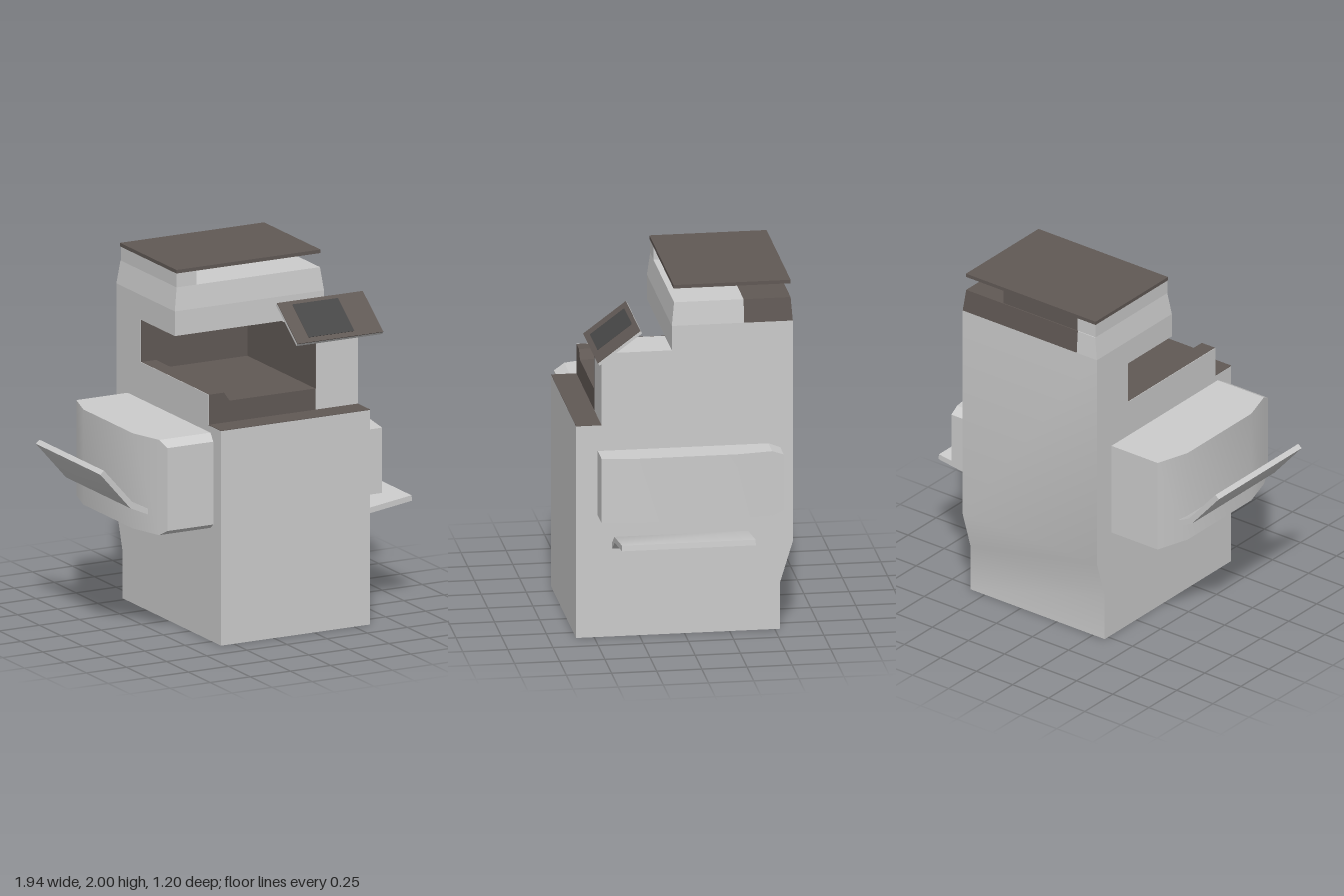
import * as THREE from 'three';
import { toCreasedNormals } from 'three/addons/utils/BufferGeometryUtils.js';

const CREASE = 0.48;
const grey = new THREE.MeshStandardMaterial({ color: 0xcccccc });
const dark = new THREE.MeshStandardMaterial({ color: 0x615955 });
const glass = new THREE.MeshStandardMaterial({ color: 0x474747 });

function mesh(parent, name, geometry, material = grey) {
  const m = new THREE.Mesh(toCreasedNormals(geometry, CREASE), material);
  m.name = name;
  parent.add(m);
  return m;
}

// Box between two corners; an optional rule moves its vertices
function block(lo, hi, rule) {
  const g = new THREE.BoxGeometry(hi[0] - lo[0], hi[1] - lo[1], hi[2] - lo[2]);
  g.translate((lo[0] + hi[0]) / 2, (lo[1] + hi[1]) / 2, (lo[2] + hi[2]) / 2);
  if (rule) {
    const p = g.attributes.position;
    const v = new THREE.Vector3();
    for (let i = 0; i < p.count; i++) {
      rule(v.fromBufferAttribute(p, i));
      p.setXYZ(i, v.x, v.y, v.z);
    }
  }
  return g;
}

// Outline extruded along 'x' (points z,y), 'y' (points x,z) or 'z' (points x,y)
function prism(points, axis, from, to) {
  const flip = { x: ([a, b]) => [-a, b], y: ([a, b]) => [a, -b], z: (p) => p }[axis];
  const shape = new THREE.Shape(points.map((p) => new THREE.Vector2(...flip(p))));
  const g = new THREE.ExtrudeGeometry(shape, { depth: to - from, bevelEnabled: false });
  g.translate(0, 0, from);
  if (axis === 'x') g.rotateY(Math.PI / 2);
  if (axis === 'y') g.rotateX(-Math.PI / 2);
  return g;
}

const clamp = THREE.MathUtils.clamp;
// Upper housing narrows slightly towards its top
const narrowTop = (v) => {
  if (v.y > 1.85) {
    v.x = clamp(v.x, -0.31, 0.583);
    v.z = clamp(v.z, -0.59, 0.055);
  }
};

export function createModel() {
  const model = new THREE.Group();
  model.name = 'officeCopier';

  // Main cabinet with the stepped front and the recessed lower back
  mesh(model, 'cabinet', prism([
    [0.6, 0], [0.6, 1.217], [-0.323, 1.217], [-0.323, 1.63], [0.07, 1.63],
    [0.07, 1.77], [-0.6, 1.77], [-0.6, 0.5], [-0.53, 0.27], [-0.53, 0],
  ], 'x', -0.33, 0.6));
  mesh(model, 'frontLedge', block([-0.33, 1.217, 0.46], [0.6, 1.22, 0.6]), dark);

  // Output bay: stepped deck, back wall, side skin and the column beside it
  mesh(model, 'outputDeck', prism([
    [-0.327, 1.217], [0.335, 1.217], [0.335, 1.34], [-0.2, 1.34], [-0.235, 1.39], [-0.327, 1.39],
  ], 'z', -0.323, 0.46), dark);
  mesh(model, 'deckSide', block([-0.33, 1.217, -0.323], [-0.327, 1.39, 0.46]));
  mesh(model, 'bayBackWall', block([-0.327, 1.34, -0.323], [0.335, 1.63, -0.32]), dark);
  mesh(model, 'bayColumn', block([0.337, 1.217, -0.323], [0.6, 1.63, 0.46]));
  mesh(model, 'bayInnerSide', block([0.334, 1.34, -0.32], [0.337, 1.63, 0.46]), dark);

  // Scanner housing, with the dark hinge block in its back corner
  mesh(model, 'scannerFront', block([-0.33, 1.77, -0.33], [0.6, 1.9, 0.07], narrowTop));
  mesh(model, 'scannerBack', block([-0.33, 1.77, -0.6], [-0.19, 1.9, -0.33], narrowTop));
  mesh(model, 'hingeBlock', block([-0.19, 1.77, -0.6], [0.6, 1.9, -0.33], narrowTop), dark);
  mesh(model, 'lidRail', block([-0.31, 1.9, -0.585], [-0.185, 1.98, 0.055]));
  mesh(model, 'feederBlock', block([-0.185, 1.9, -0.585], [0.33, 1.98, -0.33]), dark);
  mesh(model, 'lid', block([-0.313, 1.98, -0.59], [0.585, 2, 0.058]), dark);

  // Tilted control panel
  const panel = new THREE.Group();
  panel.name = 'controlPanel';
  panel.position.set(0.468, 1.7, 0.378);
  panel.rotation.x = 0.64;
  mesh(panel, 'panelBack', block([-0.267, -0.01, -0.147], [0.267, 0.006, 0.147]));
  mesh(panel, 'panelFace', block([-0.267, 0.006, -0.147], [0.267, 0.01, 0.147]), dark);
  mesh(panel, 'panelScreen', block([-0.183, 0.009, -0.122], [0.1, 0.012, 0.115]), glass);
  model.add(panel);

  // Side unit on the right, with a chamfered front end
  mesh(model, 'rightUnit', prism([
    [-0.33, -0.47], [-0.65, -0.47], [-0.71, -0.28], [-0.71, 0.29], [-0.65, 0.48], [-0.33, 0.48],
  ], 'y', 0.64, 1.18));
  mesh(model, 'rightUnitEnd', block([-0.65, 0.64, 0.48], [-0.33, 1.18, 0.54], (v) => {
    if (v.z > 0.5) v.set(clamp(v.x, -0.63, -0.345), clamp(v.y, 0.675, 1.145), v.z);
  }));

  // Side unit on the left, with a chamfered back end
  mesh(model, 'leftUnit', prism([
    [0.6, 0.48], [0.74, 0.48], [0.77, 0.28], [0.77, -0.27], [0.743, -0.465], [0.6, -0.465],
  ], 'y', 0.7, 1.07));
  mesh(model, 'leftUnitEnd', block([0.6, 0.7, -0.53], [0.743, 1.07, -0.465], (v) => {
    if (v.z < -0.5) v.set(Math.min(v.x, 0.733), clamp(v.y, 0.725, 1.045), v.z);
  }));

  // Bent paper trays
  mesh(model, 'rightTray', prism([
    [-0.672, 0.74], [-0.785, 0.79], [-0.973, 1.005], [-0.95, 1.025], [-0.765, 0.815], [-0.672, 0.772],
  ], 'z', -0.34, 0.4));
  mesh(model, 'leftTray', prism([
    [0.6, 0.505], [0.69, 0.567], [0.97, 0.607], [0.966, 0.638], [0.68, 0.598], [0.6, 0.542],
  ], 'z', -0.34, 0.4));

  return model;
}
